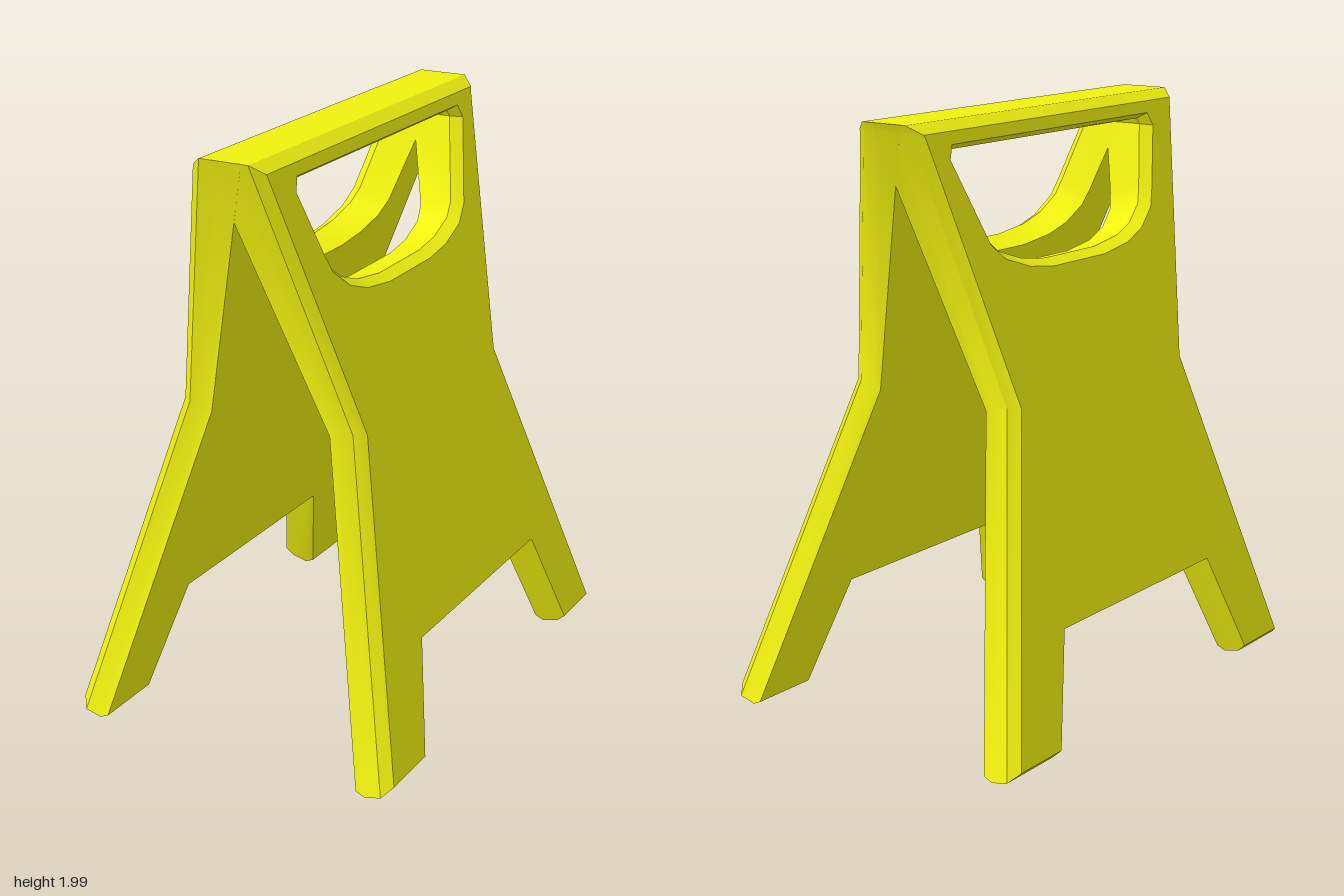
import * as THREE from 'three';
import { toCreasedNormals } from 'three/addons/utils/BufferGeometryUtils.js';

// Panel outline, seen from outside: [u, y, bevel of the edge that starts here], u = -z
const OUTLINE = [
  [-0.815, 0.03, 0.02], [-0.57, 0.03, 0], [-0.43, 0.4, 0], [0.43, 0.4, 0], [0.57, 0.03, 0.02],
  [0.81, 0.03, 0.03], [0.46, 1.11, 0.025], [0.665, 1.97, 0.02], [0.68, 2, 0.03], [-0.76, 2, 0.025], [-0.52, 1.11, 0.03],
];
// Handle opening, wound the other way
const OPENING = [
  [-0.55, 1.91, 0.02], [0.5, 1.91, 0.025], [0.51, 1.89, 0.03], [0.4, 1.63, 0.03], [0.35, 1.585, 0.03],
  [0.24, 1.548, 0.03], [0.12, 1.532, 0.03], [-0.16, 1.53, 0.03], [-0.3, 1.548, 0.03], [-0.39, 1.58, 0.03],
  [-0.46, 1.635, 0.03], [-0.485, 1.69, 0.03], [-0.56, 1.89, 0.025],
];

// Moves every edge of a loop into the material by its own bevel
function inset(loop) {
  const n = loop.length;
  const normal = (a, b) => {
    const l = Math.hypot(b[0] - a[0], b[1] - a[1]);
    return [-(b[1] - a[1]) / l, (b[0] - a[0]) / l];
  };
  return loop.map((p, i) => {
    const prev = loop[(i + n - 1) % n], next = loop[(i + 1) % n];
    const m = normal(prev, p), k = normal(p, next);
    const det = m[0] * k[1] - m[1] * k[0];
    if (Math.abs(det) < 0.02) return [p[0] + k[0] * p[2], p[1] + k[1] * p[2]];
    return [
      p[0] + (prev[2] * k[1] - p[2] * m[1]) / det,
      p[1] + (m[0] * p[2] - k[0] * prev[2]) / det,
    ];
  });
}

const LEAN = 0.245;   // sideways lean per unit of height
const NX = 0.971, NY = 0.238;

// Places an outline point on the leaning plane, at a depth below the outer face
function place([u, y], depth, side) {
  const w = depth > 0.1 ? depth + Math.max(0, y - 1.13) * 0.065 : depth;
  const x = 0.6 - LEAN * (y - 0.05);
  return y > 1.8
    ? [side * (x - w / NX), y, -u]
    : [side * (x - w * NX), y - w * NY, -u];
}

function panelGeometry(side) {
  const pos = [];
  const tri = (a, b, c) => pos.push(...a, ...(side > 0 ? [...b, ...c] : [...c, ...b]));
  const loops = [OUTLINE, OPENING];

  // Cross-sections from the outer face to the inner face; the feet are chamfered inside
  const rings = [
    loops.map((l) => inset(l).map((p) => place(p, 0, side))),
    loops.map((l) => l.map((p) => place(p, 0.035, side))),
    loops.map((l) => l.map((p) => place(p, 0.095, side))),
    loops.map((l) => l.map((p) => place([p[0], p[1] < 0.1 ? p[1] + 0.02 : p[1]], 0.122, side))),
  ];

  // Edge walls
  for (let r = 0; r < rings.length - 1; r++) {
    rings[r].forEach((loop, k) => {
      const below = rings[r + 1][k];
      loop.forEach((a, i) => {
        const j = (i + 1) % loop.length;
        tri(a, below[i], loop[j]);
        tri(loop[j], below[i], below[j]);
      });
    });
  }

  // Outer and inner faces
  const flat = loops.map((l) => l.map((p) => new THREE.Vector2(p[0], p[1])));
  const outer = rings[0].flat(), inner = rings[rings.length - 1].flat();
  for (const [a, b, c] of THREE.ShapeUtils.triangulateShape(flat[0], [flat[1]])) {
    tri(outer[a], outer[b], outer[c]);
    tri(inner[a], inner[c], inner[b]);
  }

  const geo = new THREE.BufferGeometry();
  geo.setAttribute('position', new THREE.Float32BufferAttribute(pos, 3));
  return toCreasedNormals(geo, 0.6);
}

export function createModel() {
  const group = new THREE.Group();
  group.name = 'foldingFloorSign';
  const yellow = new THREE.MeshStandardMaterial({ color: 0xf0f010 });

  // Two mirrored panels that meet in the handle bar at the top
  for (const [name, side] of [['leftPanel', 1], ['rightPanel', -1]]) {
    const panel = new THREE.Mesh(panelGeometry(side), yellow);
    panel.name = name;
    group.add(panel);
  }
  return group;
}
